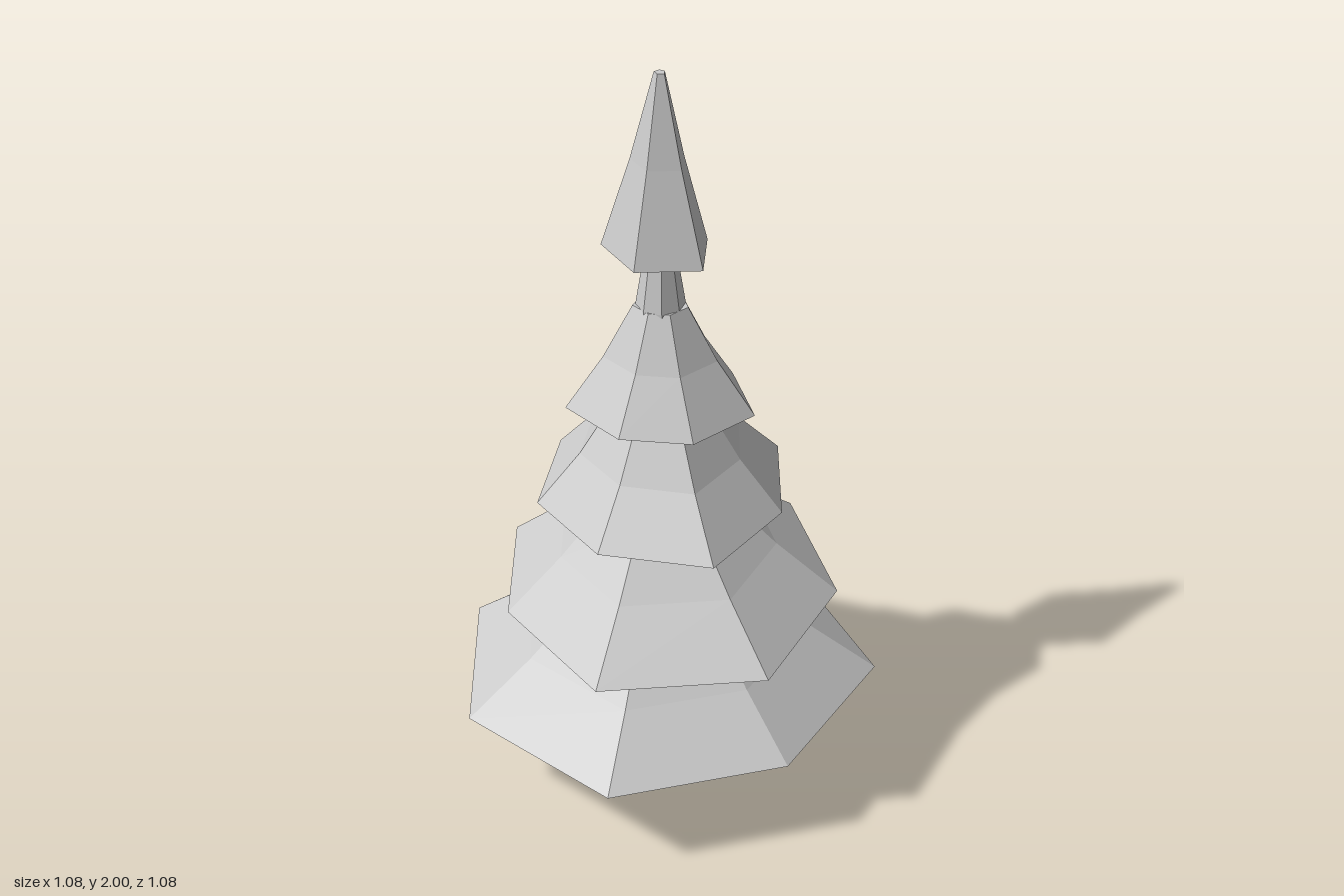
import * as THREE from 'three';

const AXIS_X = -0.03; // the trunk stands slightly off centre
const material = new THREE.MeshStandardMaterial({ color: 0xcccccc, flatShading: true });

// Rim corners [x, z] of each foliage tier, and its rings as [height, scale towards the axis]
const TIERS = [
  {
    rim: [[-0.12, -0.545], [0.36, -0.423], [0.54, 0.04], [0.272, 0.438], [-0.19, 0.539], [-0.542, 0.206], [-0.522, -0.275]],
    rings: [[0.26, 1], [0.4, 0.68], [0.54, 0.41], [0.62, 0.27]],
  },
  {
    rim: [[-0.064, -0.499], [0.339, -0.336], [0.426, 0.072], [0.217, 0.438], [-0.214, 0.461], [-0.432, 0.122], [-0.409, -0.258]],
    rings: [[0.54, 1], [0.68, 0.65], [0.82, 0.35], [0.88, 0.24]],
  },
  {
    rim: [[0.006, -0.307], [0.287, -0.197], [0.272, 0.11], [0.084, 0.342], [-0.2, 0.27], [-0.348, 0.035], [-0.284, -0.255]],
    rings: [[0.82, 1], [0.96, 0.65], [1.1, 0.38], [1.15, 0.3]],
  },
  {
    rim: [[-0.006, -0.2], [0.159, -0.116], [0.2, 0.087], [0.04, 0.212], [-0.142, 0.18], [-0.27, 0.026], [-0.177, -0.148]],
    rings: [[1.1, 1], [1.24, 0.6], [1.38, 0.29]],
  },
  {
    rim: [[-0.04, -0.125], [0.087, -0.046], [0.067, 0.113], [-0.099, 0.113], [-0.174, -0.032]],
    rings: [[1.53, 1], [1.77, 0.5], [2, 0.1]],
  },
];

// Closed skin over scaled copies of a rim, with flat caps at both ends
function tierGeometry({ rim, rings }) {
  const n = rim.length;
  const positions = [];
  const index = [];
  for (const [y, s] of rings) {
    for (const [x, z] of rim) positions.push(AXIS_X + (x - AXIS_X) * s, y, z * s);
  }
  const last = (rings.length - 1) * n;
  const bottom = rings.length * n;
  positions.push(AXIS_X, rings[0][0], 0, AXIS_X, rings[rings.length - 1][0], 0);
  for (let i = 0; i < n; i++) {
    const k = (i + 1) % n;
    for (let r = 0; r < last; r += n) {
      index.push(r + k, r + i, r + n + i, r + k, r + n + i, r + n + k);
    }
    index.push(bottom, i, k, bottom + 1, last + k, last + i);
  }
  const indexed = new THREE.BufferGeometry();
  indexed.setAttribute('position', new THREE.Float32BufferAttribute(positions, 3));
  indexed.setIndex(index);
  const geometry = indexed.toNonIndexed();
  geometry.computeVertexNormals();
  return geometry;
}

// Tapered stick between two points
function stick(from, to, r0, r1) {
  const dir = to.clone().sub(from);
  const mesh = new THREE.Mesh(new THREE.CylinderGeometry(r1, r0, dir.length(), 5), material);
  mesh.position.copy(from).add(to).multiplyScalar(0.5);
  mesh.quaternion.setFromUnitVectors(new THREE.Vector3(0, 1, 0), dir.normalize());
  return mesh;
}

export function createModel() {
  const tree = new THREE.Group();
  tree.name = 'pineTree';

  // Trunk, flared at the foot and tapering through the tiers
  const profile = [[0, 0], [0.133, 0], [0.092, 0.14], [0.077, 0.26], [0.062, 1.38], [0.037, 1.54], [0, 1.54]];
  const trunk = new THREE.Mesh(
    new THREE.LatheGeometry(profile.map(([r, y]) => new THREE.Vector2(r, y)), 8),
    material,
  );
  trunk.name = 'trunk';
  trunk.position.x = AXIS_X;
  tree.add(trunk);

  // Foliage tiers
  const foliage = new THREE.Group();
  foliage.name = 'foliage';
  TIERS.forEach((tier, i) => {
    const mesh = new THREE.Mesh(tierGeometry(tier), material);
    mesh.name = `foliageTier${i + 1}`;
    foliage.add(mesh);
  });
  tree.add(foliage);

  // Five roots reaching down and outwards
  const roots = new THREE.Group();
  roots.name = 'roots';
  for (let i = 0; i < 5; i++) {
    const a = THREE.MathUtils.degToRad(135 + 72 * i);
    const at = (r, y) => new THREE.Vector3(AXIS_X + Math.cos(a) * r, y, Math.sin(a) * r);
    const root = stick(at(0.05, 0.175), at(0.232, 0.025), 0.027, 0.017);
    root.name = `root${i + 1}`;
    roots.add(root);
  }
  tree.add(roots);

  return tree;
}
